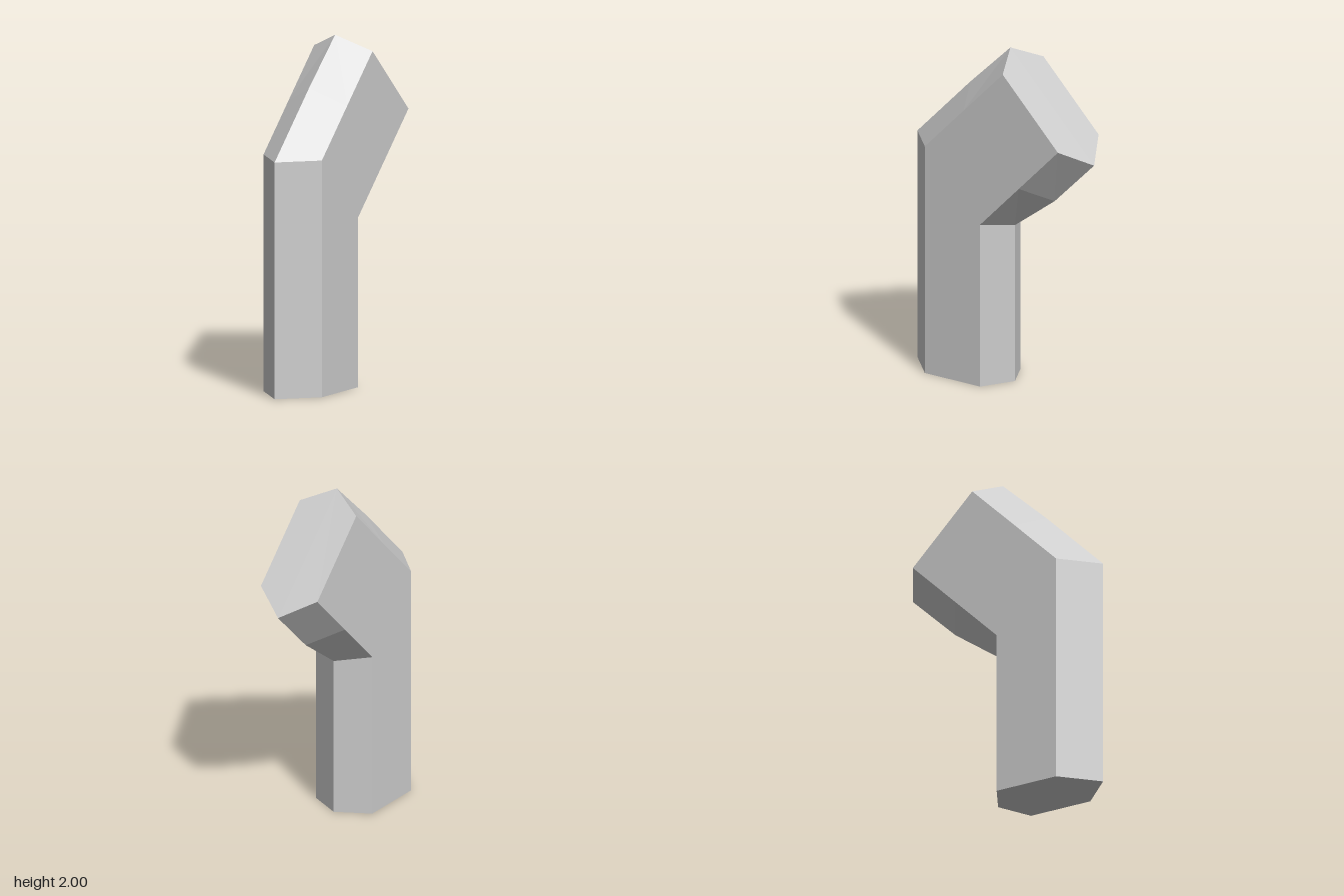
import * as THREE from 'three';

// Half width of the bar
const W = 0.194;

// Each section, from bottom to top: [y, z] of front ridge, front edge, back edge, back ridge
const SECTIONS = [
  [[0, 0.623], [0, 0.427], [0, 0.038], [0, -0.065]],
  [[1.362, 0.623], [1.362, 0.427], [0.973, 0.038], [0.938, -0.065]],
  [[1.735, 0.25], [1.635, 0.154], [1.246, -0.235], [1.141, -0.345]],
  [[2, -0.033], [1.91, -0.122], [1.522, -0.511], [1.413, -0.623]],
];

// Mirror a section into a six-sided loop
function ring([front, frontEdge, backEdge, back]) {
  const at = (x, [y, z]) => new THREE.Vector3(x, y, z);
  return [
    at(0, front), at(W, frontEdge), at(W, backEdge),
    at(0, back), at(-W, backEdge), at(-W, frontEdge),
  ];
}

function loft(rings) {
  const points = [];
  const tri = (...corners) => corners.forEach((p) => points.push(p.x, p.y, p.z));

  // Side walls, with the diagonals mirrored left to right
  for (let s = 0; s < rings.length - 1; s++) {
    for (let i = 0; i < 6; i++) {
      const j = (i + 1) % 6;
      const a = rings[s][i], b = rings[s][j], c = rings[s + 1][j], d = rings[s + 1][i];
      if (i < 3) { tri(a, b, d); tri(b, c, d); }
      else { tri(a, b, c); tri(a, c, d); }
    }
  }

  // End caps
  const bottom = rings[0], top = rings[rings.length - 1];
  for (let i = 1; i < 5; i++) {
    tri(top[0], top[i], top[i + 1]);
    tri(bottom[0], bottom[i + 1], bottom[i]);
  }

  const geometry = new THREE.BufferGeometry();
  geometry.setAttribute('position', new THREE.Float32BufferAttribute(points, 3));
  geometry.computeVertexNormals();
  return geometry;
}

export function createModel() {
  const group = new THREE.Group();
  group.name = 'bentHexagonalBar';

  const grey = new THREE.MeshStandardMaterial({ color: 0xcccccc, flatShading: true });
  grey.name = 'light grey';

  const bar = new THREE.Mesh(loft(SECTIONS.map(ring)), grey);
  bar.name = 'bentBar';
  group.add(bar);
  return group;
}
